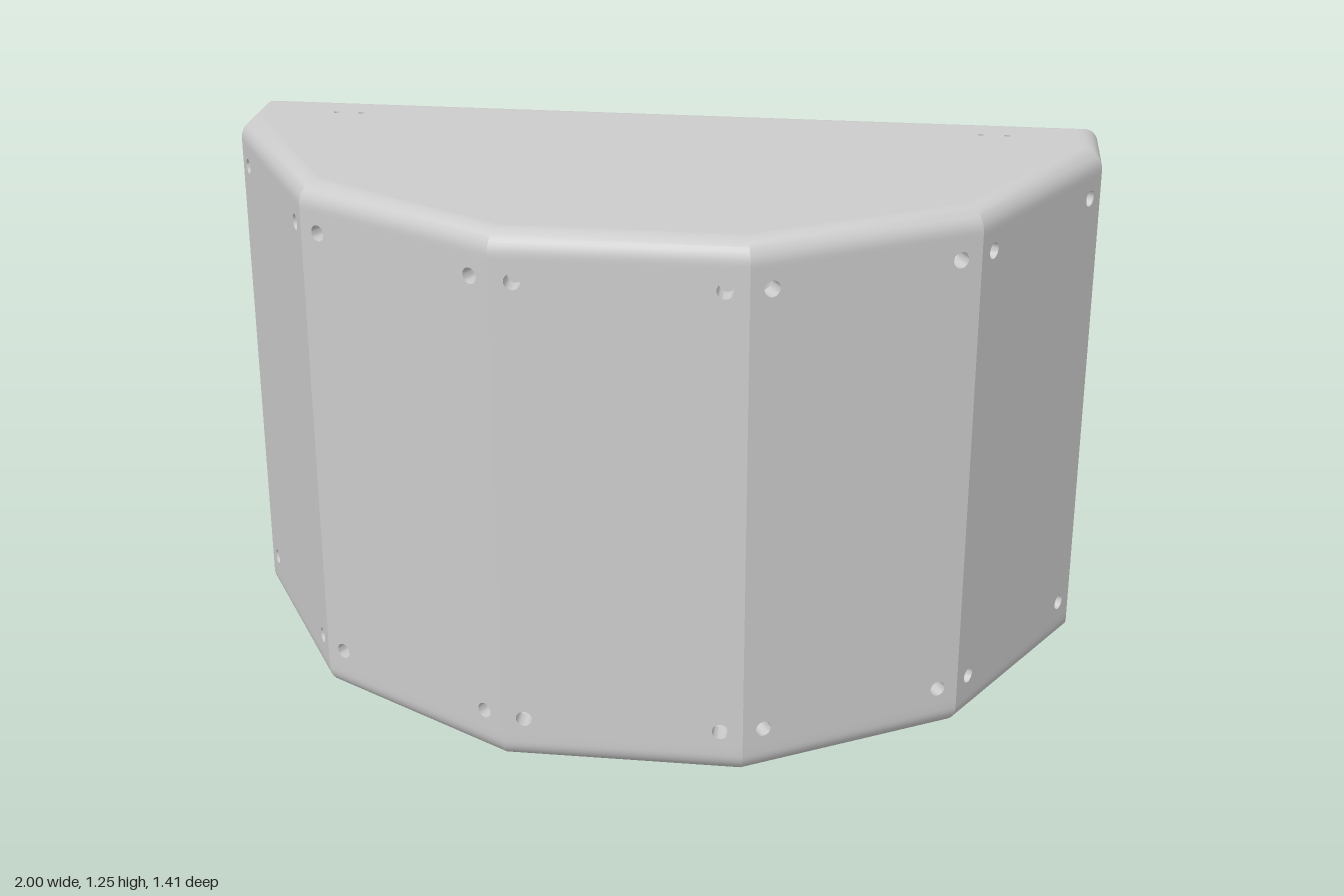
import * as THREE from 'three';
import { mergeGeometries, toCreasedNormals } from 'three/addons/utils/BufferGeometryUtils.js';

const H = 1.245, FLOOR = 0.07, CEIL = 1.185, WALL = 0.045, R = 0.05, BACK = 0.22, STEPS = 8;

// Plan outline (x, -z), counter-clockwise; the last edge is the open back
const half = [[1, BACK], [1, 0.027], [0.732, -0.437], [0.268, -0.705]];
const plan = [...half.map(([x, v]) => [-x, v]), ...half.slice().reverse()]
  .map(([x, v]) => new THREE.Vector2(x, v));
const N = plan.length;

// Move every edge i of the plan inwards by dist(i)
function inset(dist) {
  const lines = plan.map((a, i) => {
    const d = plan[(i + 1) % N].clone().sub(a).normalize();
    const n = new THREE.Vector2(-d.y, d.x);
    return { n, c: n.dot(a) + dist(i) };
  });
  return lines.map((q, i) => {
    const p = lines[(i + N - 1) % N];
    const det = p.n.x * q.n.y - p.n.y * q.n.x;
    return new THREE.Vector2((p.c * q.n.y - q.c * p.n.y) / det, (p.n.x * q.c - q.n.x * p.c) / det);
  });
}

// Skin between stacked outlines, each { pts, y }
function loft(rings) {
  const pos = [];
  const put = (r, i) => pos.push(r.pts[i % N].x, r.y, -r.pts[i % N].y);
  for (let k = 0; k + 1 < rings.length; k++) {
    const lo = rings[k], hi = rings[k + 1];
    for (let i = 0; i < N; i++) {
      put(lo, i); put(lo, i + 1); put(hi, i + 1);
      put(lo, i); put(hi, i + 1); put(hi, i);
    }
  }
  const g = new THREE.BufferGeometry();
  g.setAttribute('position', new THREE.Float32BufferAttribute(pos, 3));
  return toCreasedNormals(g, 0.4);
}

function cap(pts, y, up) {
  const g = new THREE.ShapeGeometry(new THREE.Shape(pts)).rotateX(-Math.PI / 2);
  if (!up) g.index.array.reverse();
  g.translate(0, y, 0);
  const flat = g.toNonIndexed();
  flat.deleteAttribute('uv');
  flat.computeVertexNormals();
  return flat;
}

function drill(shape, x, y, r) {
  shape.holes.push(new THREE.Path().absarc(x, y, r, 0, Math.PI * 2, true));
}

function extrude(shape, depth) {
  const g = new THREE.ExtrudeGeometry(shape, { depth, bevelEnabled: false, curveSegments: 12 });
  return g.index ? g.toNonIndexed() : g;
}

// Horizontal slab standing on height y
const slab = (shape, y, depth) =>
  toCreasedNormals(extrude(shape, depth).rotateX(-Math.PI / 2).translate(0, y, 0), 0.5);

// One wall facet with mitred ends and four screw holes
function facet(i) {
  const a = plan[i], b = plan[i + 1], w = a.distanceTo(b), h = w / 2;
  const s = new THREE.Shape([[-h, FLOOR], [h, FLOOR], [h, CEIL], [-h, CEIL]]
    .map(p => new THREE.Vector2(...p)));
  if (i > 0 && i < N - 2) {
    for (const x of [-h + 0.05, h - 0.05]) for (const y of [0.11, 1.14]) drill(s, x, y, 0.018);
  }
  const g = extrude(s, WALL).translate(0, 0, -WALL);
  const p = g.attributes.position, m = WALL * Math.tan(Math.PI / 12);
  for (let k = 0; k < p.count; k++) {
    if (p.getZ(k) > -WALL / 2) continue;
    const x = p.getX(k);
    if (x < -h + 1e-4 && i > 0) p.setX(k, x + m);
    if (x > h - 1e-4 && i < N - 2) p.setX(k, x - m);
  }
  g.rotateY(Math.atan2(b.y - a.y, b.x - a.x));
  g.translate((a.x + b.x) / 2, 0, -(a.y + b.y) / 2);
  return toCreasedNormals(g, 0.5);
}

export function createModel() {
  const group = new THREE.Group();
  const mat = new THREE.MeshStandardMaterial({ color: 0xcccccc });
  const add = (name, geo) => {
    const mesh = new THREE.Mesh(geo, mat);
    mesh.name = name;
    group.add(mesh);
  };

  // Floor: only the front edges are rounded underneath
  const floorRings = [];
  for (let k = 0; k <= STEPS; k++) {
    const t = (k / STEPS) * Math.PI / 2;
    const d = R * (1 - Math.sin(t));
    floorRings.push({ pts: inset(i => (i > 0 && i < N - 2 ? d : 0)), y: R * (1 - Math.cos(t)) });
  }
  floorRings.push({ pts: plan, y: FLOOR });
  const skin = loft(floorRings);
  add('floor', mergeGeometries([skin, cap(floorRings[0].pts, 0, false), cap(plan, FLOOR, true)]));

  // Rear mounting flange with rounded corners and three bolt holes
  const arcR = 0.46, arcX = 0.325, arcV = 0.705 - arcR;
  const flange = new THREE.Shape();
  flange.moveTo(-1, BACK);
  flange.lineTo(1, BACK);
  flange.absarc(arcX, arcV, arcR, Math.PI / 4, Math.PI / 2, false);
  flange.absarc(-arcX, arcV, arcR, Math.PI / 2, Math.PI * 3 / 4, false);
  flange.closePath();
  for (const [x, v] of [[-0.487, 0.54], [0.487, 0.54], [0, 0.345]]) drill(flange, x, v, 0.043);
  add('mountingFlange', slab(flange, 0, FLOOR));

  // Walls
  for (let i = 0; i < N - 1; i++) add('wallFacet' + (i + 1), facet(i));

  // Roof: rounded rim around a flat centre with small pin holes
  const inner = inset(() => R);
  const rim = [{ pts: inner, y: CEIL }, { pts: plan, y: CEIL }];
  for (let k = 0; k <= STEPS; k++) {
    const t = (k / STEPS) * Math.PI / 2;
    rim.push({ pts: inset(() => R * (1 - Math.cos(t))), y: H - R + R * Math.sin(t) });
  }
  add('roofRim', loft(rim));
  const top = new THREE.Shape(inner);
  for (const x of [-0.787, -0.727, 0.727, 0.787]) drill(top, x, 0.1, 0.007);
  add('roofCentre', slab(top, CEIL, H - CEIL));

  // Central back panel between the two openings
  const panel = new THREE.BoxGeometry(0.98, CEIL - FLOOR, 0.06);
  add('backPanel', panel.translate(0, (CEIL + FLOOR) / 2, -BACK + 0.03));

  return group;
}
